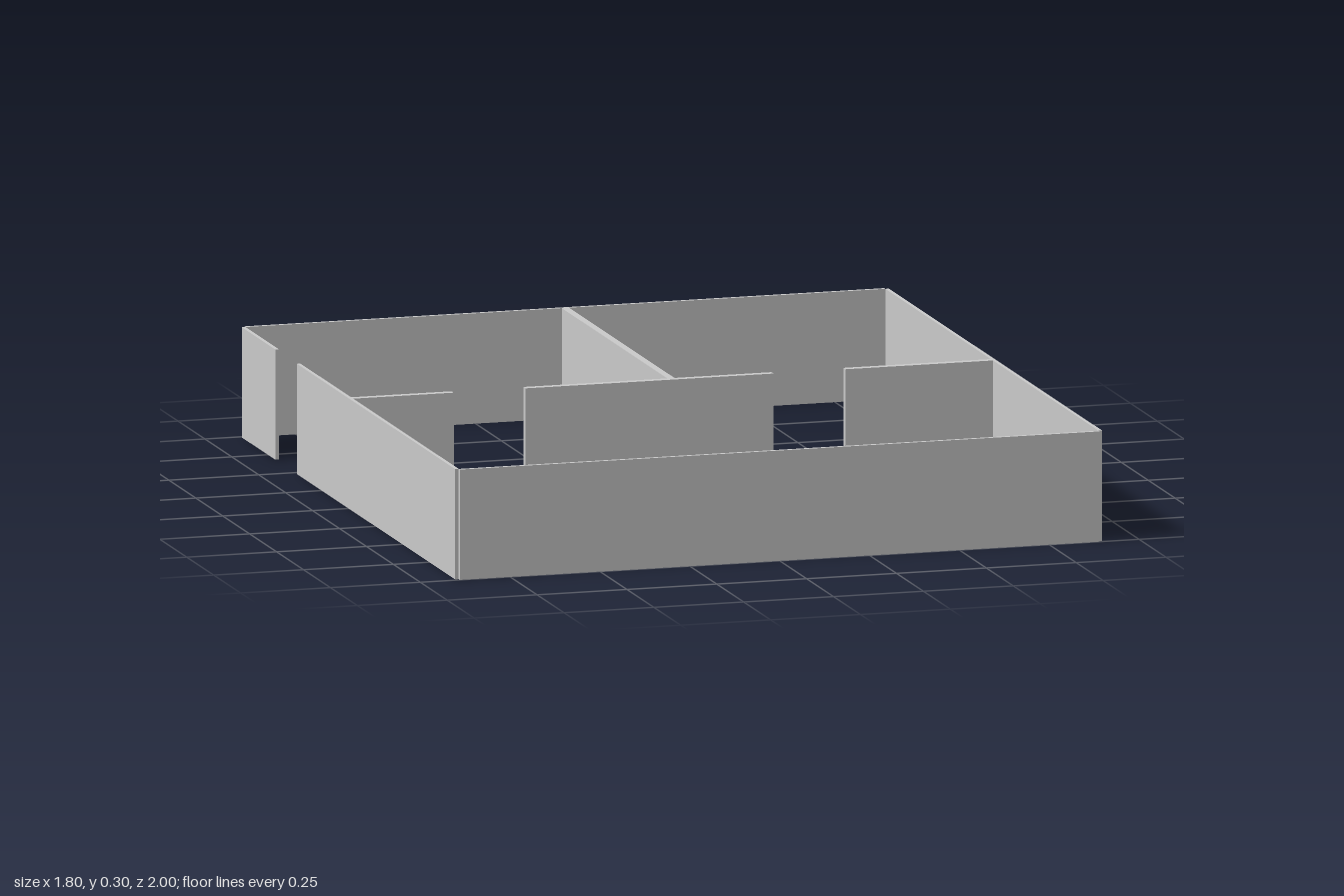
import * as THREE from 'three';

const HEIGHT = 0.3;
const X = 0.9, Z = 1;      // outer half extents
const T = 0.01;            // outer wall thickness
const H = 0.01;            // half thickness of inner walls

export function createModel() {
  const model = new THREE.Group();
  model.name = 'floorPlan';
  const material = new THREE.MeshStandardMaterial({ color: 0xcccccc });

  // Upright wall filling the given footprint
  function wall(name, x0, x1, z0, z1) {
    const mesh = new THREE.Mesh(new THREE.BoxGeometry(x1 - x0, HEIGHT, z1 - z0), material);
    mesh.position.set((x0 + x1) / 2, HEIGHT / 2, (z0 + z1) / 2);
    mesh.name = name;
    model.add(mesh);
  }

  const xi = X - T, zi = Z - T;

  // Outer walls, the right one broken by a doorway
  wall('frontWall', -xi, xi, zi, Z);
  wall('backWall', -xi, xi, -Z, -zi);
  wall('leftWall', xi, X, -zi, zi);
  wall('rightWallBack', -X, -xi, -zi, -0.68);
  wall('rightWallFront', -X, -xi, -0.48, zi);

  // Cross wall with two doorways
  wall('crossWallRight', -xi, -0.61, -H, H);
  wall('crossWallMiddle', -0.41, 0.28, -H, H);
  wall('crossWallLeft', 0.48, xi, -H, H);

  // Divider between the two back rooms
  wall('dividerWall', -H, H, -zi, -H);

  return model;
}
